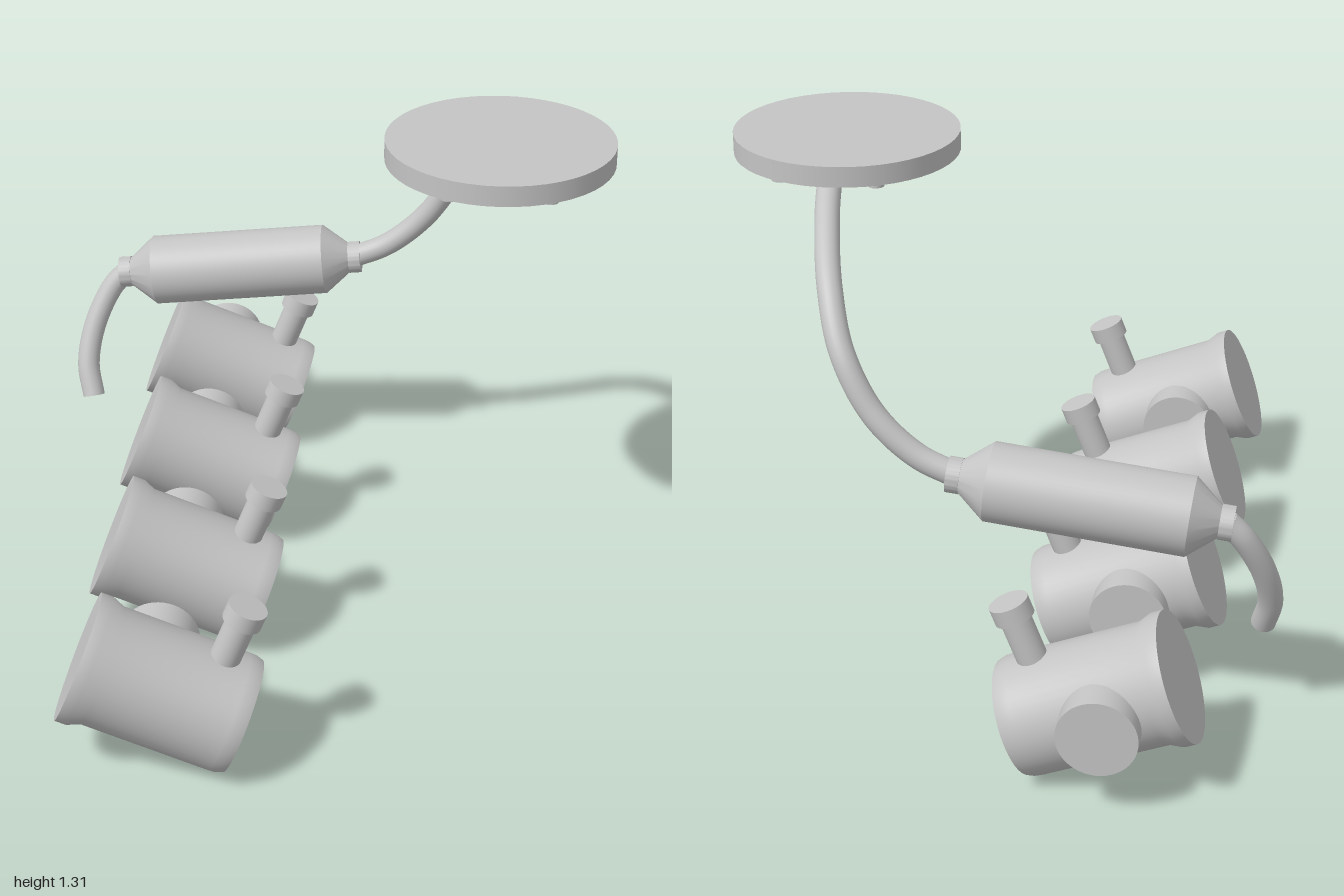
import * as THREE from 'three';
import { toCreasedNormals } from 'three/addons/utils/BufferGeometryUtils.js';

const SEG = 48;

export function createModel() {
  const grey = new THREE.MeshStandardMaterial({ color: 0xc4c4c4 });
  grey.name = 'light grey metal';
  const model = new THREE.Group();
  model.name = 'pipework';

  const add = (parent, name, geometry, x = 0, y = 0, z = 0) => {
    const mesh = new THREE.Mesh(geometry, grey);
    mesh.name = name;
    mesh.position.set(x, y, z);
    parent.add(mesh);
    return mesh;
  };
  const cylinder = (r, h) => new THREE.CylinderGeometry(r, r, h, SEG);
  // Turned part from [radius, height] pairs, listed from bottom to top
  const turned = (profile) => toCreasedNormals(
    new THREE.LatheGeometry(profile.map(([r, y]) => new THREE.Vector2(r, y)), SEG), 0.5);

  // Round bar along a curve, closed with a disc at each end
  const pipe = (name, radius, points) => {
    const curve = new THREE.CatmullRomCurve3(points.map((p) => new THREE.Vector3(...p)));
    const group = new THREE.Group();
    group.name = name;
    add(group, name + 'Bend', new THREE.TubeGeometry(curve, 64, radius, 24));
    for (const t of [0, 1]) {
      const outward = curve.getTangent(t).multiplyScalar(t ? 1 : -1);
      const cap = add(group, name + 'End', new THREE.CircleGeometry(radius, 24));
      cap.position.copy(curve.getPoint(t));
      cap.quaternion.setFromUnitVectors(new THREE.Vector3(0, 0, 1), outward);
    }
    model.add(group);
  };

  // Row of four tilted canisters; local y runs from the flange to the closed end
  for (const z of [0.84, 0.293, -0.254, -0.8]) {
    const canister = new THREE.Group();
    canister.name = 'canister';
    canister.position.set(-0.522, 0.296, z);
    canister.rotation.z = -THREE.MathUtils.degToRad(111.5);
    add(canister, 'canisterBody', turned([
      [0, 0], [0.162, 0], [0.162, 0.03], [0.149, 0.062],
      [0.149, 0.385], [0.148, 0.405], [0.142, 0.423], [0, 0.423],
    ]));
    // Filler neck and cap on the upper side
    const neck = add(canister, 'neck', cylinder(0.038, 0.16), -0.18, 0.324, 0);
    const neckCap = add(canister, 'neckCap', cylinder(0.049, 0.044), -0.279, 0.324, 0);
    neck.rotation.z = neckCap.rotation.z = Math.PI / 2;
    // Round port at the back
    const port = add(canister, 'sidePort', cylinder(0.098, 0.12), 0, 0.184, -0.138);
    port.rotation.x = Math.PI / 2;
    model.add(canister);
  }

  // Silencer with tapered ends and collars
  const silencer = add(model, 'silencer', turned([
    [0, -0.345], [0.043, -0.345], [0.043, -0.312], [0.04, -0.312], [0.097, -0.243],
    [0.097, 0.243], [0.042, 0.312], [0.044, 0.312], [0.044, 0.345], [0, 0.345],
  ]), -0.274, 0.646, -0.611);
  silencer.rotation.z = -THREE.MathUtils.degToRad(84);

  // Pipes on either side of the silencer
  pipe('inletPipe', 0.031, [
    [0.447, 1.243, -0.18], [0.425, 1.19, -0.3], [0.38, 1.08, -0.47], [0.33, 0.955, -0.565],
    [0.25, 0.82, -0.6], [0.145, 0.725, -0.61], [0.04, 0.678, -0.612],
  ]);
  pipe('tailPipe', 0.031, [
    [-0.6, 0.613, -0.611], [-0.64, 0.57, -0.603], [-0.69, 0.465, -0.565],
    [-0.707, 0.36, -0.52], [-0.69, 0.275, -0.483],
  ]);

  // Round plate with a ring of six bolts underneath
  add(model, 'plate', cylinder(0.288, 0.053), 0.447, 1.288, 0.014);
  for (let i = 0; i < 6; i++) {
    const a = (i * Math.PI) / 3;
    add(model, 'bolt', cylinder(0.021, 0.03),
      0.447 + 0.243 * Math.cos(a), 1.26, 0.014 + 0.243 * Math.sin(a));
  }
  return model;
}
